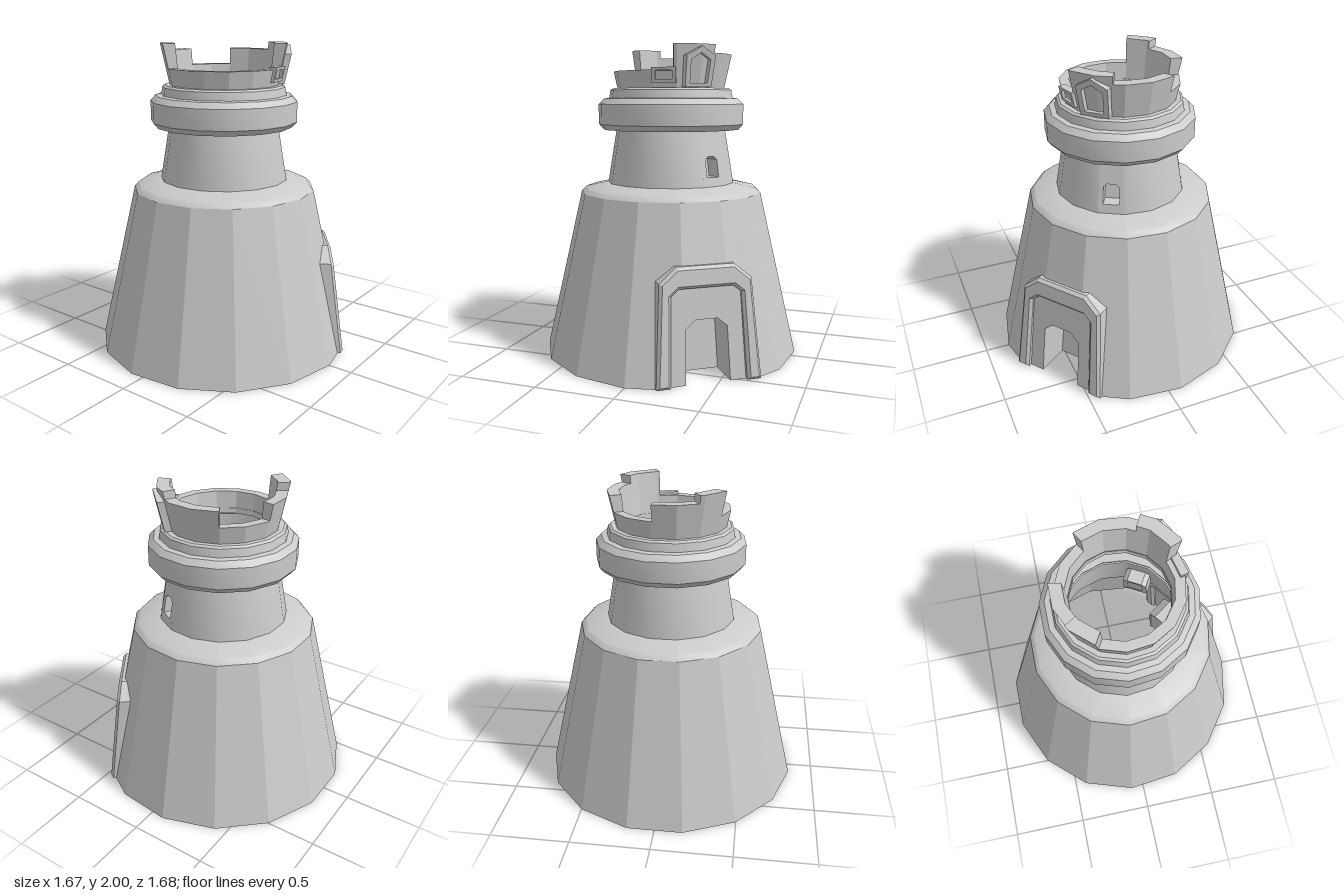
import * as THREE from 'three';
import { toCreasedNormals } from 'three/addons/utils/BufferGeometryUtils.js';

const STEP = 24; // fifteen-sided tower
const rad = THREE.MathUtils.degToRad;
const smooth = new THREE.MeshStandardMaterial({ color: 0xcccccc, side: THREE.DoubleSide });
const flat = new THREE.MeshStandardMaterial({ color: 0xcccccc, side: THREE.DoubleSide, flatShading: true });

function add(parent, name, geometry, material = flat) {
  const mesh = new THREE.Mesh(geometry, material);
  mesh.name = name;
  parent.add(mesh);
  return mesh;
}

// Point on the fifteen-sided outline at an angle (degrees from +x towards +z)
function ringPoint(angle, r, y) {
  const within = ((angle % STEP) + STEP) % STEP;
  const d = r * Math.cos(rad(STEP / 2)) / Math.cos(rad(within - STEP / 2));
  return [d * Math.cos(rad(angle)), y, d * Math.sin(rad(angle))];
}

function fromQuads(quads) {
  const pos = [];
  for (const [a, b, c, d] of quads) pos.push(...a, ...b, ...c, ...a, ...c, ...d);
  const g = new THREE.BufferGeometry();
  g.setAttribute('position', new THREE.Float32BufferAttribute(pos, 3));
  g.computeVertexNormals();
  return g;
}

// Sloping wall with one rectangular opening
function wall(r0, y0, r1, y1, cut) {
  const angles = [cut.from, cut.to];
  for (let a = -360; a <= 0; a += STEP) angles.push(a);
  angles.sort((a, b) => a - b);
  const radius = y => r0 + (r1 - r0) * (y - y0) / (y1 - y0);
  const quads = [];
  for (let i = 0; i < angles.length - 1; i++) {
    const a = angles[i], b = angles[i + 1], mid = (a + b) / 2;
    const open = mid > cut.from && mid < cut.to;
    for (const [lo, hi] of open ? [[y0, cut.low], [cut.high, y1]] : [[y0, y1]]) {
      if (hi - lo < 0.001) continue;
      quads.push([ringPoint(a, radius(lo), lo), ringPoint(a, radius(hi), hi),
        ringPoint(b, radius(hi), hi), ringPoint(b, radius(lo), lo)]);
    }
  }
  return fromQuads(quads);
}

function lathe(points) {
  const profile = points.map(p => new THREE.Vector2(...p));
  return toCreasedNormals(new THREE.LatheGeometry(profile, 15, Math.PI / 2), 0.6);
}

// Symmetric arch outline with chamfered shoulders
function arch(w, wTop, h, chamfer, base = 0) {
  const half = [[w, base], [wTop, h - chamfer], [wTop - chamfer * 1.2, h]];
  return [...half, ...half.map(([x, y]) => [-x, y]).reverse()];
}

// Surround between two outlines; its front lies at z = front + slope * y
function surround(outer, inner, { front, depth, slope, closed = false, bevel = 0 }) {
  const vec = pts => pts.map(p => new THREE.Vector2(...p));
  let shape;
  if (closed) {
    shape = new THREE.Shape(vec(outer));
    shape.holes.push(new THREE.Path(vec(inner)));
  } else shape = new THREE.Shape(vec([...outer, ...inner.slice().reverse()]));
  const g = new THREE.ExtrudeGeometry(shape, {
    depth: depth - 2 * bevel, bevelEnabled: bevel > 0, bevelSize: bevel,
    bevelThickness: bevel, bevelOffset: -bevel, bevelSegments: 1
  });
  g.translate(0, 0, front - depth + bevel);
  return shear(g, slope);
}

function panel(outline, z, slope) {
  const g = new THREE.ShapeGeometry(new THREE.Shape(outline.map(p => new THREE.Vector2(...p))));
  return shear(g.translate(0, 0, z), slope);
}

function shear(g, slope) {
  const p = g.attributes.position;
  for (let i = 0; i < p.count; i++) p.setZ(i, p.getZ(i) + slope * p.getY(i));
  g.computeVertexNormals();
  return g;
}

// Group whose local +z looks outwards at the given angle
function facing(parent, name, angle) {
  const g = new THREE.Group();
  g.name = name;
  g.rotation.y = Math.PI / 2 - rad(angle);
  parent.add(g);
  return g;
}

export function createModel() {
  const tower = new THREE.Group();
  tower.name = 'tower';

  // Main walls, open where the doorway and neck window sit
  add(tower, 'baseWall', wall(0.845, 0, 0.6, 1.06, { from: -56, to: -16, low: 0, high: 0.61 }));
  add(tower, 'shoulder', lathe([[0.6, 1.06], [0.57, 1.09], [0.42, 1.122]]), smooth);
  add(tower, 'neck', toCreasedNormals(
    wall(0.42, 1.12, 0.36, 1.48, { from: -70, to: -50, low: 1.175, high: 1.31 }), 0.6), smooth);
  add(tower, 'collar', lathe([[0.35, 1.47], [0.45, 1.47], [0.48, 1.505], [0.48, 1.635], [0.445, 1.67],
    [0.41, 1.675], [0.4, 1.725], [0.385, 1.737], [0.3, 1.737]]), smooth);

  // Crown: low parapet, raised parapets and tall merlons
  const outerR = y => 0.352 + 0.22 * (y - 1.73);
  const innerR = y => 0.3 + 0.1 * (y - 1.7);
  const spans = [[0, 120, 1.845], [120, 148, 2], [148, 190, 1.95], [190, 240, 1.845],
    [240, 298, 1.95], [298, 339, 2], [339, 360, 1.845]];
  const crown = [];
  for (const [from, to, top] of spans) {
    const section = a => [ringPoint(a, outerR(1.72), 1.72), ringPoint(a, outerR(top), top),
      ringPoint(a, innerR(top), top), ringPoint(a, innerR(1.7), 1.7)];
    const stops = [from];
    for (let a = STEP; a < 360; a += STEP) if (a > from && a < to) stops.push(a);
    stops.push(to);
    for (let i = 0; i < stops.length - 1; i++) {
      const p = section(stops[i]), q = section(stops[i + 1]);
      for (let j = 0; j < 3; j++) crown.push([p[j], p[j + 1], q[j + 1], q[j]]);
    }
    crown.push(section(from).reverse(), section(to));
  }
  add(tower, 'crown', fromQuads(crown));

  // Doorway: outer surround, inner panel and the passage behind it
  const door = facing(tower, 'doorway', -36);
  const opening = arch(0.14, 0.13, 0.38, 0.05);
  add(door, 'doorSurround', surround(arch(0.33, 0.29, 0.7, 0.09), arch(0.24, 0.22, 0.57, 0.04),
    { front: 0.795, depth: 0.12, slope: -0.13, bevel: 0.018 }));
  add(door, 'doorPanel', surround(arch(0.26, 0.25, 0.6, 0.03), opening,
    { front: 0.755, depth: 0.05, slope: -0.11 }));
  add(door, 'doorPassage', surround(arch(0.15, 0.14, 0.39, 0.05), opening,
    { front: 0.73, depth: 0.2, slope: -0.11 }));
  add(door, 'doorBack', panel(opening, 0.535, -0.11));

  // Neck window
  const window = facing(tower, 'neckWindow', -60);
  const pane = arch(0.05, 0.05, 1.31, 0.02, 1.18);
  add(window, 'windowFrame', surround(arch(0.082, 0.078, 1.335, 0.025, 1.155), pane,
    { front: 0.602, depth: 0.09, slope: -0.17, closed: true }));
  add(window, 'windowBack', panel(pane, 0.515, -0.17));

  // Pointed niche on the tall merlon
  const niche = facing(tower, 'pointedNiche', -45);
  add(niche, 'pointedFrame', surround(
    [[0.09, 1.74], [0.1, 1.93], [0, 1.985], [-0.1, 1.93], [-0.09, 1.74]],
    [[0.06, 1.765], [0.067, 1.905], [0, 1.945], [-0.067, 1.905], [-0.06, 1.765]],
    { front: -0.004, depth: 0.05, slope: 0.22, closed: true }));

  // Small square niche on the low parapet
  const slot = facing(tower, 'squareNiche', -12);
  add(slot, 'squareFrame', surround(arch(0.075, 0.075, 1.86, 0.002, 1.765),
    arch(0.052, 0.052, 1.84, 0.002, 1.785),
    { front: -0.017, depth: 0.05, slope: 0.22, closed: true }));

  return tower;
}
